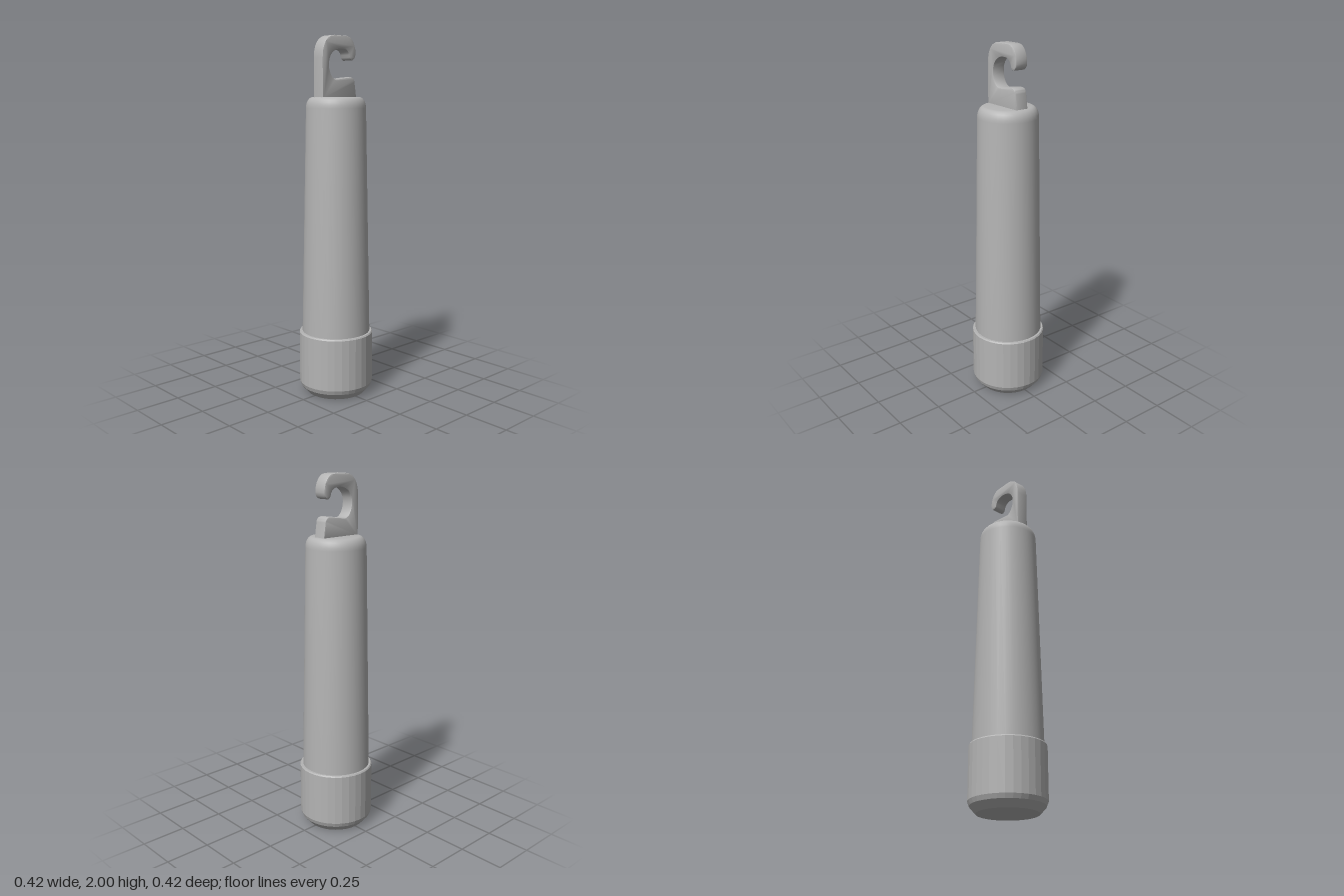
import * as THREE from 'three';
import { toCreasedNormals } from 'three/addons/utils/BufferGeometryUtils.js';

const SIDES = 32;

// Turned part from [radius, height] pairs, listed bottom to top
function turned(name, profile, crease, material) {
  const points = profile.map(([r, y]) => new THREE.Vector2(r, y));
  const geometry = toCreasedNormals(new THREE.LatheGeometry(points, SIDES), crease);
  const mesh = new THREE.Mesh(geometry, material);
  mesh.name = name;
  return mesh;
}

export function createModel() {
  const group = new THREE.Group();
  group.name = 'hookedHandle';
  const grey = new THREE.MeshStandardMaterial({ color: 0xb4b4b4 });
  grey.name = 'grey';

  // Faceted end cap with a chamfered foot and a thin rim
  group.add(turned('endCap', [
    [0, 0], [0.165, 0], [0.176, 0.012], [0.199, 0.038], [0.208, 0.062],
    [0.208, 0.35], [0.203, 0.357], [0.186, 0.357],
  ], 0.1, grey));

  // Tapered barrel with a rounded shoulder
  const barrel = [[0.192, 0.34], [0.165, 1.612]];
  for (let i = 1; i <= 6; i++) {
    const a = (i / 6) * Math.PI / 2;
    barrel.push([0.127 + 0.038 * Math.cos(a), 1.612 + 0.06 * Math.sin(a)]);
  }
  barrel.push([0, 1.672]);
  group.add(turned('barrel', barrel, 0.7, grey));

  // Open hanging hook, drawn as (z, y) and extruded across x
  const shape = new THREE.Shape();
  shape.moveTo(0.131, 1.66);
  shape.lineTo(0.131, 1.88);
  shape.bezierCurveTo(0.131, 1.95, 0.1, 2, 0.04, 2);
  shape.lineTo(-0.05, 2);
  shape.bezierCurveTo(-0.09, 2, -0.117, 1.95, -0.116, 1.905);
  shape.bezierCurveTo(-0.114, 1.865, -0.075, 1.86, -0.069, 1.885);
  shape.bezierCurveTo(-0.065, 1.915, -0.045, 1.929, -0.01, 1.929);
  shape.bezierCurveTo(0.04, 1.929, 0.082, 1.9, 0.082, 1.845);
  shape.bezierCurveTo(0.082, 1.8, 0.055, 1.766, 0.032, 1.766);
  shape.lineTo(-0.075, 1.78);
  shape.quadraticCurveTo(-0.106, 1.78, -0.109, 1.752);
  shape.lineTo(-0.123, 1.66);
  shape.closePath();
  const bevel = 0.008;
  const hookGeometry = new THREE.ExtrudeGeometry(shape, {
    depth: 0.076 - 2 * bevel, curveSegments: 6,
    bevelEnabled: true, bevelThickness: bevel, bevelSize: bevel,
    bevelOffset: -bevel, bevelSegments: 2,
  });
  hookGeometry.translate(0, 0, -(0.076 - 2 * bevel) / 2);
  hookGeometry.rotateY(-Math.PI / 2);
  const hook = new THREE.Mesh(toCreasedNormals(hookGeometry, 0.75), grey);
  hook.name = 'hook';
  group.add(hook);

  return group;
}
